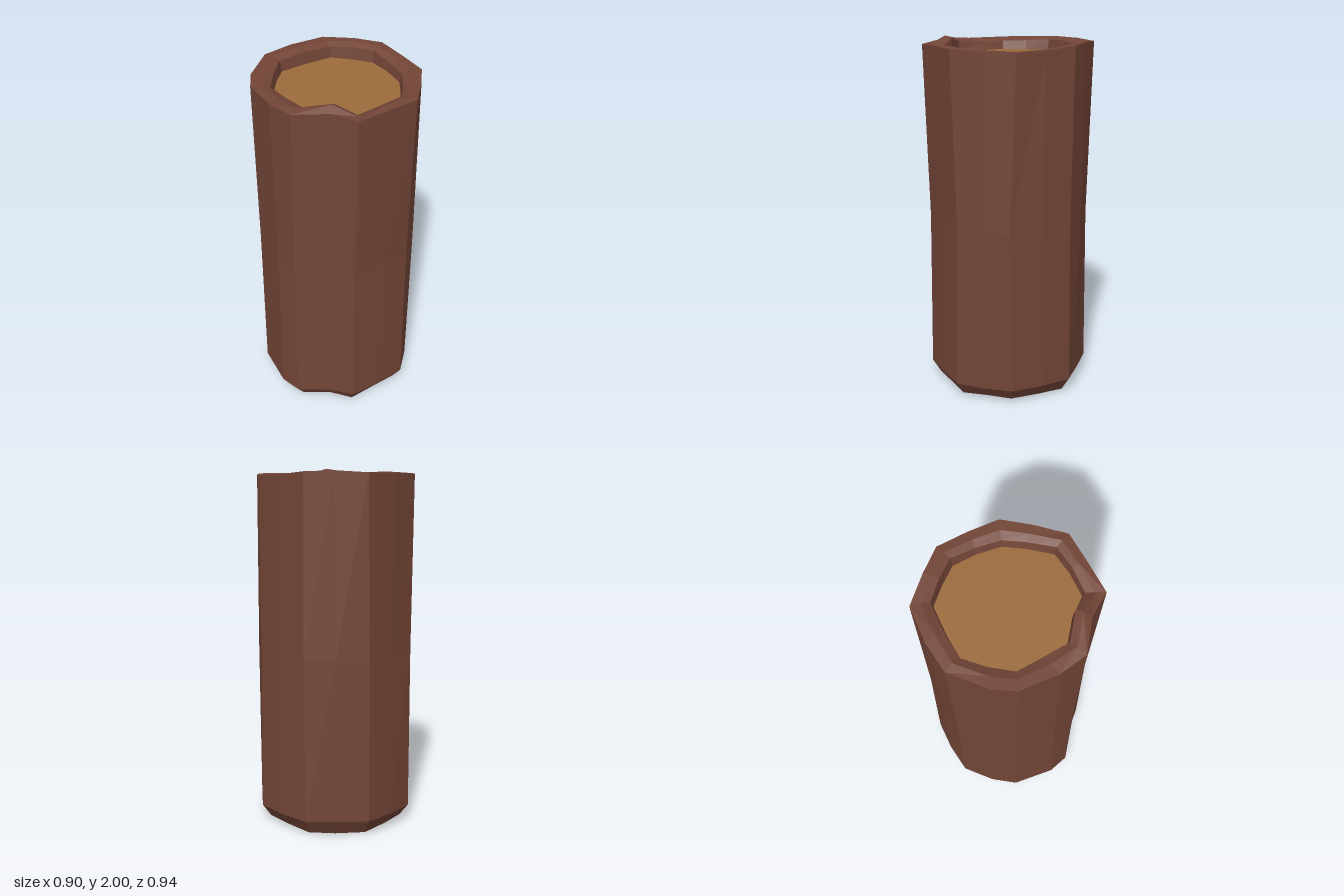
import * as THREE from 'three';

const N = 16;

// Irregular cross-sections as [x, z], running from +x round through +z
const TOP = [[.45, 0], [.4, .16], [.33, .33], [.17, .4], [0, .47], [-.12, .385], [-.305, .335], [-.385, .2],
  [-.45, 0], [-.43, -.125], [-.325, -.33], [-.17, -.41], [.02, -.47], [.18, -.395], [.32, -.32], [.395, -.16]];
const MIDDLE = [[.435, .03], [.4, .17], [.325, .305], [.17, .38], [0, .445], [-.14, .385], [-.31, .33], [-.38, .22],
  [-.445, 0], [-.42, -.14], [-.32, -.32], [-.17, -.39], [0, -.45], [.17, -.39], [.32, -.31], [.39, -.15]];
const BOTTOM = [[.445, .02], [.395, .17], [.325, .32], [.17, .39], [0, .455], [-.13, .39], [-.315, .345], [-.39, .24],
  [-.45, 0], [-.41, -.15], [-.32, -.32], [-.17, -.4], [0, -.46], [.17, -.39], [.32, -.32], [.395, -.16]];
const CORE = [[.33, 0], [.305, .12], [.26, .255], [.15, .315], [.02, .36], [-.08, .3], [-.225, .255], [-.28, .12],
  [-.335, 0], [-.3, -.13], [-.25, -.25], [-.11, -.31], [.04, -.36], [.15, -.31], [.25, -.25], [.3, -.13]];

// Uneven heights of the bark's edges
const EDGE_Y = [1.96, 1.965, 1.97, 1.97, 1.965, 1.975, 1.965, 1.96, 1.96, 1.965, 1.97, 1.975, 1.975, 1.985, 1.98, 1.965];
const CREST_Y = [1.96, 1.965, 1.975, 1.975, 1.96, 2, 1.975, 1.96, 1.96, 1.965, 1.975, 1.98, 1.975, 1.985, 1.98, 1.965];
const FOOT_Y = [.02, .025, .015, .02, .01, .02, .02, .01, .012, .02, .025, .02, .01, .005, .01, .02];

// Lift a cross-section to a height (a number or a list of heights)
const lift = (ring, y, scale = 1) =>
  ring.map(([x, z], i) => new THREE.Vector3(x * scale, Array.isArray(y) ? y[i] : y, z * scale));

// Blend two cross-sections
const blend = (a, b, t) => a.map(([x, z], i) => [x + (b[i][0] - x) * t, z + (b[i][1] - z) * t]);

// Skin a list of closed rings
function skin(rings) {
  const index = [];
  for (let r = 0; r < rings.length - 1; r++) {
    for (let i = 0; i < N; i++) {
      const j = (i + 1) % N;
      const a = r * N + i, b = r * N + j, c = a + N, d = b + N;
      index.push(a, c, b, b, c, d);
    }
  }
  const geometry = new THREE.BufferGeometry().setFromPoints(rings.flat());
  geometry.setIndex(index);
  geometry.computeVertexNormals();
  return geometry;
}

// Flat cut face filling a ring
function cutFace(ring, y, faceUp) {
  const shape = new THREE.Shape(ring.map(([x, z]) => new THREE.Vector2(x, faceUp ? -z : z)));
  return new THREE.ShapeGeometry(shape).rotateX(faceUp ? -Math.PI / 2 : Math.PI / 2).translate(0, y, 0);
}

export function createModel() {
  const log = new THREE.Group();
  log.name = 'log';
  const barkMaterial = new THREE.MeshStandardMaterial({ color: 0x734537, flatShading: true });
  const woodMaterial = new THREE.MeshStandardMaterial({ color: 0x9c6b3c, flatShading: true });
  const add = (name, geometry, material) => {
    const mesh = new THREE.Mesh(geometry, material);
    mesh.name = name;
    log.add(mesh);
  };

  // Bark: recessed foot, bevel, trunk wall, rim and recessed top
  add('bark', skin([
    lift(CORE, .1),
    lift(CORE, FOOT_Y.map((y) => y + .01), 1.06),
    lift(BOTTOM, FOOT_Y, .89),
    lift(BOTTOM, .09),
    lift(MIDDLE, 1),
    lift(TOP, EDGE_Y),
    lift(blend(TOP, CORE, .5), CREST_Y),
    lift(blend(TOP, CORE, .9), CREST_Y.map((y) => y - .015)),
    lift(CORE, 1.9),
  ]), barkMaterial);

  // Cut wood at both ends
  add('topWood', cutFace(CORE, 1.9, true), woodMaterial);
  add('bottomWood', cutFace(CORE, .1, false), woodMaterial);
  return log;
}
